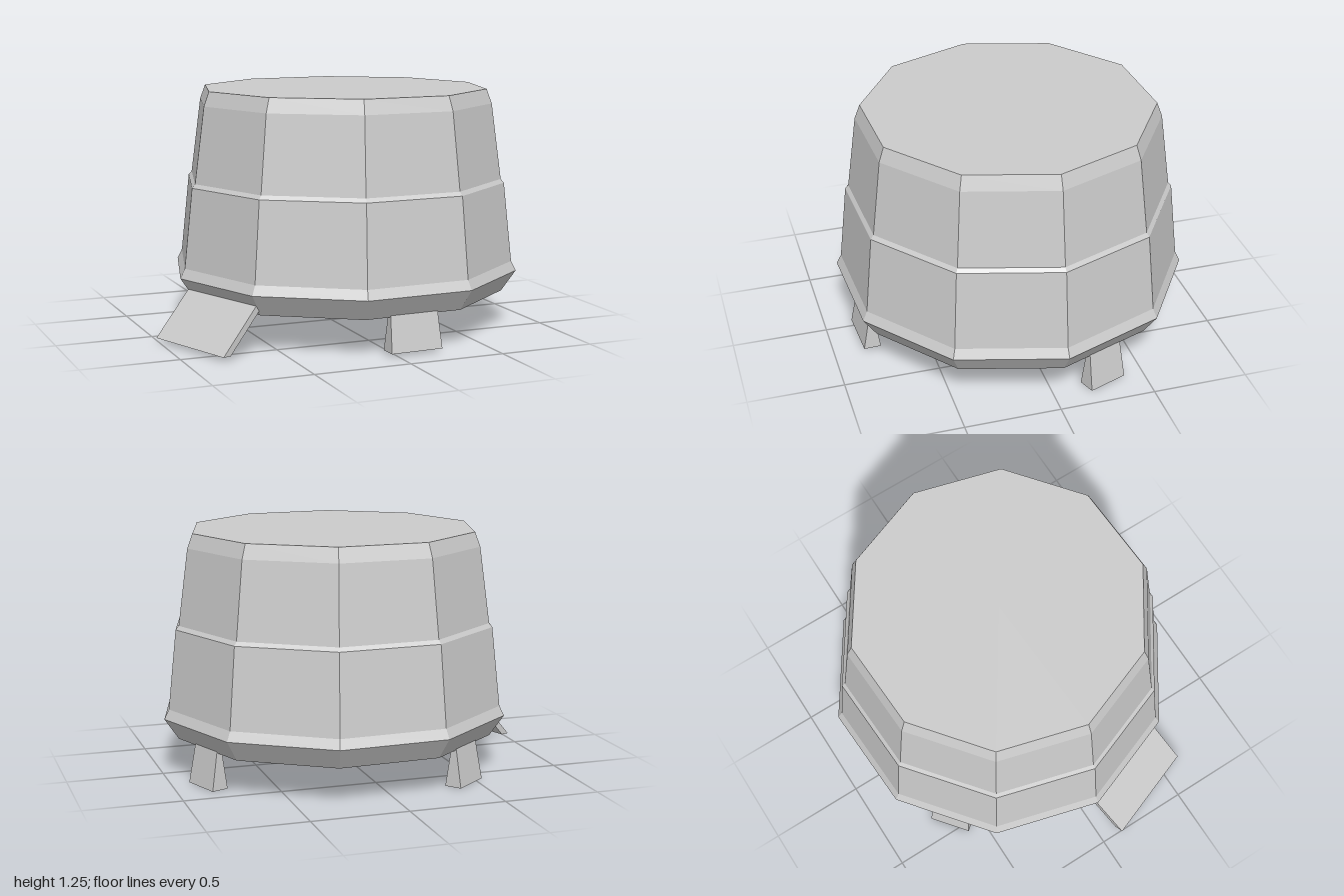
import * as THREE from 'three';

const SIDES = 10;
const CENTRE_X = 0.07;
const RAD = Math.PI / 180;

// Box whose end rectangles are set separately; +z points away from the hull axis.
// Each end: y, r (middle distance from axis), d (depth), w (width)
function taperedBlock(low, high) {
  const g = new THREE.BoxGeometry(1, 1, 1);
  const p = g.attributes.position;
  for (let i = 0; i < p.count; i++) {
    const e = p.getY(i) < 0 ? low : high;
    p.setXYZ(i, p.getX(i) * e.w, e.y, e.r + p.getZ(i) * e.d);
  }
  g.computeVertexNormals();
  return g;
}

export function createModel() {
  const root = new THREE.Group();
  root.name = 'landingPod';
  const mat = new THREE.MeshStandardMaterial({ color: 0xcccccc, flatShading: true });

  const add = (name, geometry, angle) => {
    const mesh = new THREE.Mesh(geometry, mat);
    mesh.name = name;
    mesh.position.x = CENTRE_X;
    mesh.rotation.y = (90 - angle) * RAD;
    root.add(mesh);
  };

  // Ten-sided hull: flat base, flared rim, stepped wall and chamfered roof
  const profile = [
    [0, 0.19], [0.85, 0.19], [0.925, 0.3], [0.9, 0.35], [0.855, 0.765],
    [0.838, 0.785], [0.785, 1.18], [0.757, 1.255], [0, 1.255],
  ].map(([r, y]) => new THREE.Vector2(r, y));
  add('hull', new THREE.LatheGeometry(profile, SIDES), -2.5);

  // Three wedge feet, each under the middle of a hull facet
  const feet = [
    ['frontFoot', 87.5, 0.015, 0.28],
    ['leftFoot', -20.5, 0, 0.215],
    ['backFoot', -128.5, 0, 0.22],
  ];
  for (const [name, angle, y, w] of feet) {
    add(name, taperedBlock(
      { y, r: 0.805, d: 0.09, w },
      { y: 0.21, r: 0.8, d: 0.025, w: w - 0.02 },
    ), angle);
  }

  // Sloping boarding ramp on the right side
  add('ramp', taperedBlock(
    { y: 0.02, r: 1.028, d: 0.045, w: 0.54 },
    { y: 0.28, r: 0.785, d: 0.045, w: 0.54 },
  ), 159.5);

  return root;
}
